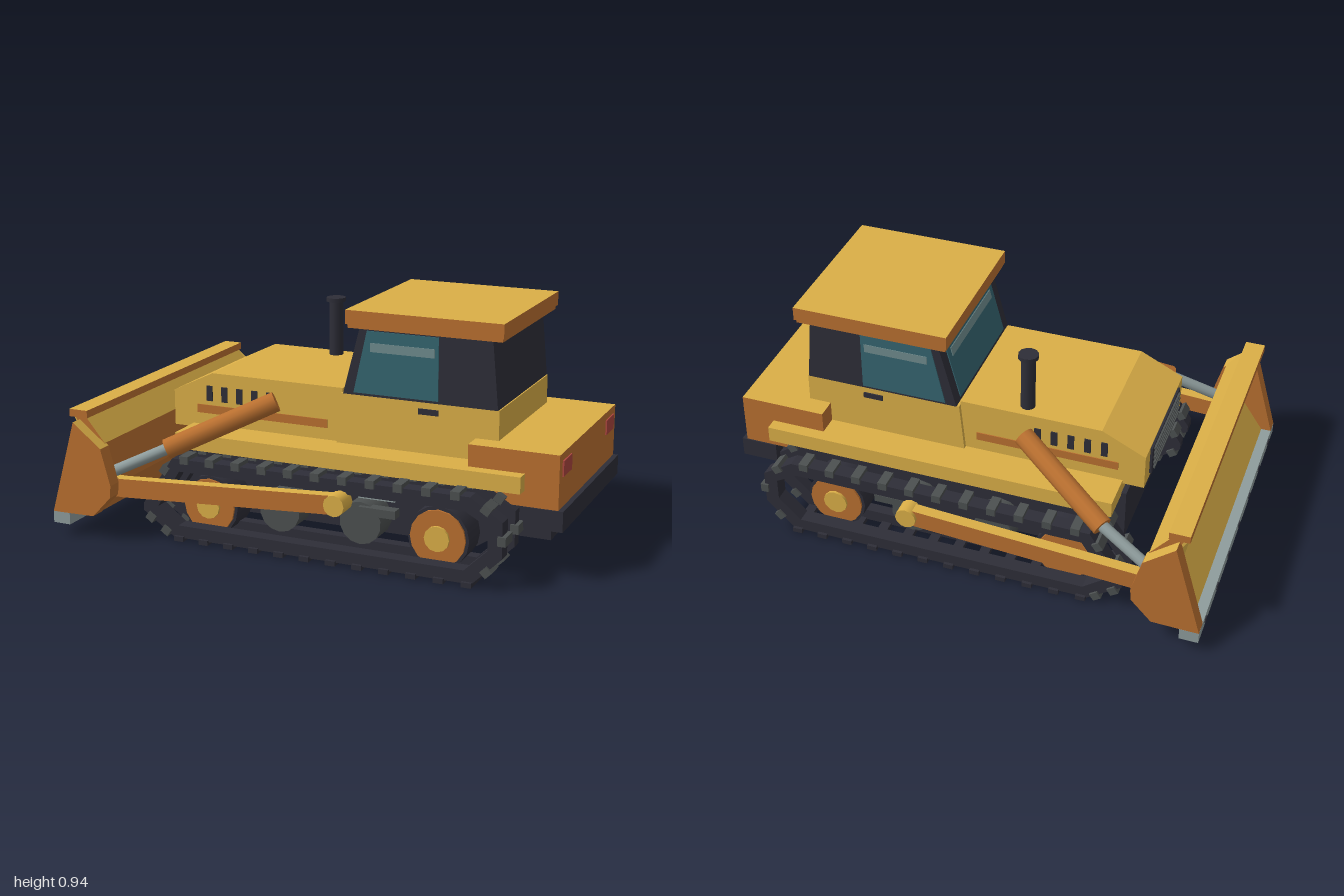
import * as THREE from 'three';

const mat = (name, color, extra = {}) => Object.assign(new THREE.MeshStandardMaterial({ color, ...extra }), { name });
const yellow = mat('yellow', 0xdbaf47), orange = mat('orange', 0xba7030), dark = mat('dark', 0x2e2e38);
const shoeGrey = mat('shoe grey', 0x4c5050), steel = mat('steel', 0x8e9c9c), glass = mat('glass', 0x356570);
const glare = mat('glass glare', 0x6f8c8e), red = mat('lamp red', 0xac463f);

export function createModel() {
  const root = new THREE.Group();
  root.name = 'bulldozer';

  const add = (name, geo, material) => {
    const m = new THREE.Mesh(geo, material);
    m.name = name;
    root.add(m);
    return m;
  };
  // Box given by its min and max on each axis
  const boxGeo = (x0, x1, y0, y1, z0, z1) =>
    new THREE.BoxGeometry(x1 - x0, y1 - y0, Math.abs(z1 - z0)).translate((x0 + x1) / 2, (y0 + y1) / 2, (z0 + z1) / 2);
  const box = (name, m, ...d) => add(name, boxGeo(...d), m);
  // Side profile in x/y, extruded along z
  const prismGeo = (pts, z0, z1, hole) => {
    const shape = new THREE.Shape(pts.map(p => new THREE.Vector2(...p)));
    if (hole) shape.holes.push(new THREE.Path(hole.map(p => new THREE.Vector2(...p))));
    return new THREE.ExtrudeGeometry(shape, { depth: Math.abs(z1 - z0), bevelEnabled: false }).translate(0, 0, Math.min(z0, z1));
  };
  const prism = (name, m, pts, z0, z1, hole) => add(name, prismGeo(pts, z0, z1, hole), m);
  // Upward faces become yellow, all the others orange
  const twoTone = (name, geo) => {
    const g = geo.index ? geo.toNonIndexed() : geo;
    g.clearGroups();
    const n = g.attributes.normal;
    for (let i = 0; i < n.count; i += 3) g.addGroup(i, 3, n.getY(i) > 0.3 ? 0 : 1);
    return add(name, g, [yellow, orange]);
  };
  // Cylinder between two points
  const rod = (name, m, a, b, r, sides = 12) => {
    const va = new THREE.Vector3(...a), vb = new THREE.Vector3(...b), d = vb.clone().sub(va);
    const mesh = add(name, new THREE.CylinderGeometry(r, r, d.length(), sides), m);
    mesh.position.copy(va).add(vb).multiplyScalar(0.5);
    mesh.quaternion.setFromUnitVectors(new THREE.Vector3(0, 1, 0), d.normalize());
    return mesh;
  };

  // Chassis and body
  box('bellyPan', dark, -0.6, 0.93, 0.13, 0.35, -0.29, 0.29);
  box('rearBumper', dark, 0.85, 1.0, 0.2, 0.28, -0.385, 0.385);
  box('fenderDeck', yellow, -0.58, 0.85, 0.34, 0.405, -0.43, 0.43);
  prism('hood', yellow, [[-0.665, 0.39], [0.07, 0.39], [0.08, 0.62], [-0.49, 0.62], [-0.665, 0.535]], -0.28, 0.28);
  prism('cabBase', yellow, [[0.06, 0.39], [0.72, 0.39], [0.72, 0.605], [0.08, 0.605]], -0.297, 0.297);
  twoTone('rearBody', boxGeo(0.63, 0.98, 0.28, 0.49, -0.38, 0.38));

  // Front grille
  box('grille', dark, -0.674, -0.664, 0.41, 0.53, -0.21, 0.21);
  for (let i = 0; i < 5; i++)
    box('grilleBar', shoeGrey, -0.682, -0.672, 0.422 + i * 0.023, 0.43 + i * 0.023, -0.19, 0.19);

  // Exhaust
  rod('exhaustPipe', dark, [-0.175, 0.6, -0.22], [-0.175, 0.85, -0.22], 0.029);
  rod('exhaustCap', dark, [-0.175, 0.845, -0.22], [-0.175, 0.862, -0.22], 0.04);

  // Cab, with a raked front screen
  prism('cab', dark, [[0.09, 0.605], [0.715, 0.605], [0.69, 0.872], [0.16, 0.872]], -0.3, 0.3);
  const screen = (name, m, t0, t1, off, w) => {
    const p = (t, o) => [0.09 + 0.07 * t - 0.967 * o, 0.605 + 0.267 * t - 0.255 * -o];
    prism(name, m, [p(t0, -0.001), p(t1, -0.001), p(t1, off), p(t0, off)], -w, w);
  };
  screen('frontWindow', glass, 0.05, 0.95, 0.004, 0.25);
  screen('frontGlare', glare, 0.66, 0.79, 0.007, 0.22);
  twoTone('roof', boxGeo(0.113, 0.742, 0.885, 0.94, -0.333, 0.333));
  box('roofLip', orange, 0.12, 0.735, 0.87, 0.886, -0.325, 0.325);

  // Blade
  twoTone('bladeBack', prismGeo([[-0.94, 0.095], [-0.82, 0.1], [-0.78, 0.2], [-0.78, 0.39], [-0.86, 0.486],
    [-0.91, 0.486], [-0.845, 0.37], [-0.86, 0.22]], -0.63, 0.63));
  prism('bladeFace', yellow, [[-0.96, 0.095], [-0.94, 0.095], [-0.86, 0.22], [-0.845, 0.37], [-0.91, 0.486],
    [-0.925, 0.486], [-0.855, 0.365], [-0.87, 0.225]], -0.62, 0.62);
  twoTone('bladeRail', boxGeo(-0.93, -0.85, 0.485, 0.515, -0.64, 0.64));
  box('cuttingEdge', steel, -1.0, -0.925, 0.05, 0.097, -0.68, 0.68);
  for (let i = -3; i <= 3; i++)
    box('edgeBolt', dark, -1.004, -0.998, 0.063, 0.083, i * 0.19 - 0.012, i * 0.19 + 0.012);

  // Track outline and its hollow
  const outer = [[-0.53, 0.012], [0.71, 0.012], [0.825, 0.125], [0.825, 0.265], [0.7, 0.345], [-0.53, 0.335], [-0.665, 0.135], [-0.665, 0.105]];
  const inner = [[-0.51, 0.062], [0.68, 0.062], [0.77, 0.15], [0.77, 0.24], [0.68, 0.29], [-0.5, 0.285], [-0.6, 0.13]];

  for (const s of [1, -1]) {
    const sbox = (name, m, x0, x1, y0, y1, z0, z1) => box(name, m, x0, x1, y0, y1, s * z0, s * z1);

    // Body side details
    sbox('tailLamp', red, 0.975, 0.986, 0.4, 0.46, 0.24, 0.345);
    for (let i = 0; i < 5; i++) sbox('hoodVent', dark, -0.516 + i * 0.067, -0.49 + i * 0.067, 0.505, 0.567, 0.278, 0.285);
    sbox('hoodStripe', orange, -0.56, 0.015, 0.453, 0.487, 0.278, 0.284);
    sbox('doorHandle', dark, 0.4, 0.48, 0.558, 0.58, 0.295, 0.303);
    prism('sideWindow', glass, [[0.135, 0.615], [0.48, 0.615], [0.48, 0.86], [0.19, 0.86]], s * 0.299, s * 0.304);
    sbox('sideGlare', glare, 0.205, 0.465, 0.78, 0.815, 0.3, 0.306);

    // Track frame and two chain loops
    prism('trackFrame', dark, [[-0.5, 0.085], [0.66, 0.085], [0.76, 0.15], [0.76, 0.28], [-0.5, 0.28], [-0.57, 0.15]], s * 0.28, s * 0.345);
    for (const [z0, z1] of [[0.485, 0.545], [0.355, 0.4]]) {
      prism('trackChain', dark, outer, s * z0, s * z1, inner);
      // Shoes spaced evenly around each run of the chain
      outer.forEach((a, i) => {
        if (i === 0) return;
        const b = outer[(i + 1) % outer.length];
        const len = Math.hypot(b[0] - a[0], b[1] - a[1]), n = Math.round(len / 0.108);
        for (let k = 0; k < n; k++) {
          const t = (k + 0.5) / n;
          const shoe = add('trackShoe', new THREE.BoxGeometry(0.036, 0.032, z1 - z0 + 0.018), shoeGrey);
          shoe.position.set(a[0] + (b[0] - a[0]) * t, a[1] + (b[1] - a[1]) * t, s * (z0 + z1) / 2);
          shoe.rotation.z = Math.atan2(b[1] - a[1], b[0] - a[0]);
        }
      });
    }
    // Ground shoes run the full track width
    for (let i = 0; i < 12; i++) sbox('groundShoe', dark, -0.525 + i * 0.109, -0.485 + i * 0.109, 0, 0.02, 0.35, 0.557);

    // Wheels and rollers
    for (const [x, y] of [[-0.41, 0.135], [0.55, 0.142]]) {
      rod('wheel', dark, [x, y, s * 0.34], [x, y, s * 0.465], 0.122, 16);
      rod('wheelDisc', orange, [x, y, s * 0.46], [x, y, s * 0.474], 0.11, 16);
      rod('wheelHub', yellow, [x, y, s * 0.47], [x, y, s * 0.485], 0.05, 12);
    }
    for (const x of [-0.11, 0.23]) rod('roller', shoeGrey, [x, 0.15, s * 0.34], [x, 0.15, s * 0.455], 0.085, 14);
    sbox('stepUpper', steel, 0.23, 0.38, 0.258, 0.278, 0.43, 0.475);
    sbox('stepLower', shoeGrey, 0.23, 0.38, 0.19, 0.222, 0.43, 0.475);

    // Push arm and pivot
    twoTone('pushArm', prismGeo([[-0.79, 0.165], [-0.73, 0.165], [0.2, 0.222], [0.2, 0.296], [-0.73, 0.24], [-0.79, 0.24]], s * 0.552, s * 0.598));
    rod('armPivot', yellow, [0.19, 0.26, s * 0.53], [0.19, 0.26, s * 0.612], 0.042);

    // Lift cylinder
    rod('liftCylinder', orange, [-0.19, 0.545, s * 0.315], [-0.57, 0.36, s * 0.515], 0.041);
    rod('liftRod', steel, [-0.55, 0.37, s * 0.505], [-0.8, 0.25, s * 0.58], 0.023);

    // Blade end plate
    twoTone('bladeEndPlate', prismGeo([[-1.0, 0.096], [-0.815, 0.1], [-0.735, 0.185], [-0.73, 0.235], [-0.77, 0.38], [-0.89, 0.475]], s * 0.62, s * 0.68));
  }
  return root;
}
